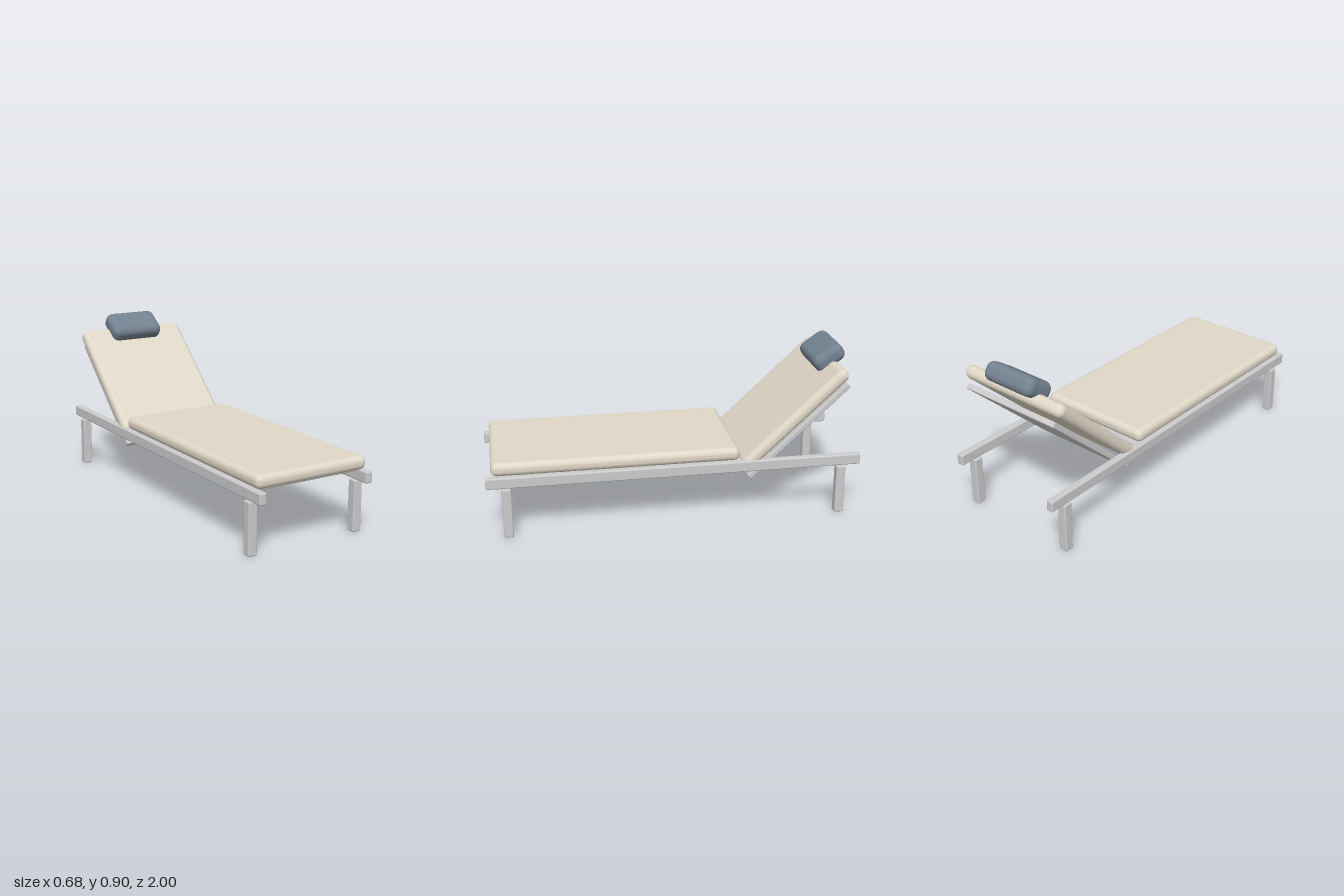
import * as THREE from 'three';
import { RoundedBoxGeometry } from 'three/addons/geometries/RoundedBoxGeometry.js';

const frameMat = new THREE.MeshStandardMaterial({ color: 0xcccccc });
const fabricMat = new THREE.MeshStandardMaterial({ color: 0xe0d8c8 });
const pillowMat = new THREE.MeshStandardMaterial({ color: 0x738290 });

// Rounded block: size, edge radius, centre and tilt about x in degrees
function block(name, material, [w, h, d], radius, [x, y, z], tilt = 0) {
  const mesh = new THREE.Mesh(new RoundedBoxGeometry(w, h, d, 5, radius), material);
  mesh.name = name;
  mesh.position.set(x, y, z);
  mesh.rotation.x = THREE.MathUtils.degToRad(tilt);
  return mesh;
}

export function createModel() {
  const model = new THREE.Group();
  model.name = 'sunLounger';

  // Side rails and the four legs below them
  for (const side of [-1, 1]) {
    model.add(block('sideRail', frameMat, [0.04, 0.06, 2], 0.008, [side * 0.315, 0.308, 0]));
    for (const end of [-1, 1]) {
      model.add(block('leg', frameMat, [0.05, 0.275, 0.05], 0.008, [side * 0.315, 0.1375, end * 0.895]));
    }
  }

  // Cross slats under the seat cushion
  const slats = new THREE.Group();
  slats.name = 'seatSlats';
  const count = 12;
  for (let i = 0; i < count; i++) {
    const z = THREE.MathUtils.lerp(0.87, -0.31, i / (count - 1));
    slats.add(block('slat', frameMat, [0.59, 0.02, 0.08], 0.006, [0, 0.328, z]));
  }
  model.add(slats);

  // Seat cushion
  model.add(block('seatCushion', fabricMat, [0.65, 0.072, 1.31], 0.032, [0, 0.374, 0.315]));

  // Reclined back: panel, cushion and head pillow
  model.add(block('backPanel', frameMat, [0.59, 0.03, 0.725], 0.007, [0, 0.472, -0.661], 43));
  model.add(block('backCushion', fabricMat, [0.65, 0.07, 0.74], 0.032, [0, 0.545, -0.635], 43));
  model.add(block('headPillow', pillowMat, [0.315, 0.1, 0.18], 0.04, [0, 0.821, -0.861], 35));

  return model;
}
